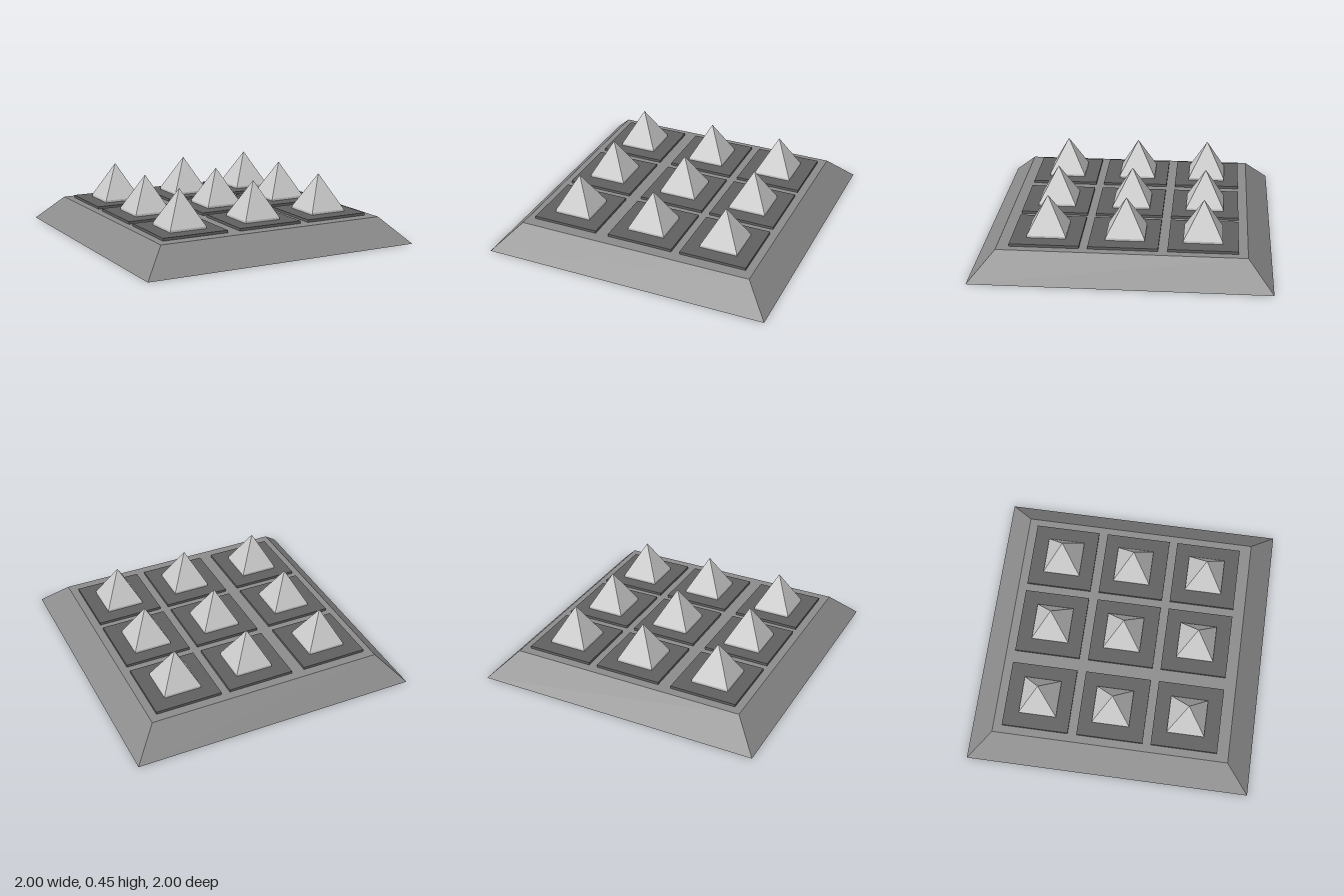
import * as THREE from 'three';

const material = (color) => new THREE.MeshStandardMaterial({ color, flatShading: true });

// Four-sided frustum or pyramid with axis-aligned sides, standing on y = 0
function squareFrustum(bottomHalf, topHalf, height) {
  const g = new THREE.CylinderGeometry(topHalf * Math.SQRT2, bottomHalf * Math.SQRT2, height, 4);
  return g.rotateY(Math.PI / 4).translate(0, height / 2, 0);
}

export function createModel() {
  const model = new THREE.Group();
  const baseMat = material(0x8c8c8c);
  const padMat = material(0x606060);
  const spikeMat = material(0xcccccc);

  const add = (parent, name, geometry, mat, x, y, z) => {
    const mesh = new THREE.Mesh(geometry, mat);
    mesh.name = name;
    mesh.position.set(x, y, z);
    parent.add(mesh);
  };

  // Sloped base slab
  const baseTop = 0.175;
  add(model, 'base', squareFrustum(1, 0.83, baseTop), baseMat, 0, 0, 0);

  // Slightly uneven 3 x 3 grid of pads, each with a spike
  const padTop = 0.193, skirtTop = 0.208, apex = 0.452;
  const padGeo = new THREE.BoxGeometry(0.466, padTop - baseTop, 0.466);
  const skirtGeo = new THREE.BoxGeometry(0.262, skirtTop - padTop, 0.262);
  const spikeGeo = squareFrustum(0.131, 0, apex - skirtTop);
  const columns = [-0.542, 0.016, 0.542];
  const rows = [{ pad: -0.535, spike: -0.532 }, { pad: -0.007, spike: -0.014 }, { pad: 0.516, spike: 0.514 }];

  for (const x of columns) {
    for (const row of rows) {
      const unit = new THREE.Group();
      unit.name = 'spikeUnit';
      add(unit, 'pad', padGeo, padMat, x, (baseTop + padTop) / 2, row.pad);
      add(unit, 'spikeSkirt', skirtGeo, spikeMat, x, (padTop + skirtTop) / 2, row.spike);
      add(unit, 'spike', spikeGeo, spikeMat, x, skirtTop, row.spike);
      model.add(unit);
    }
  }
  return model;
}
